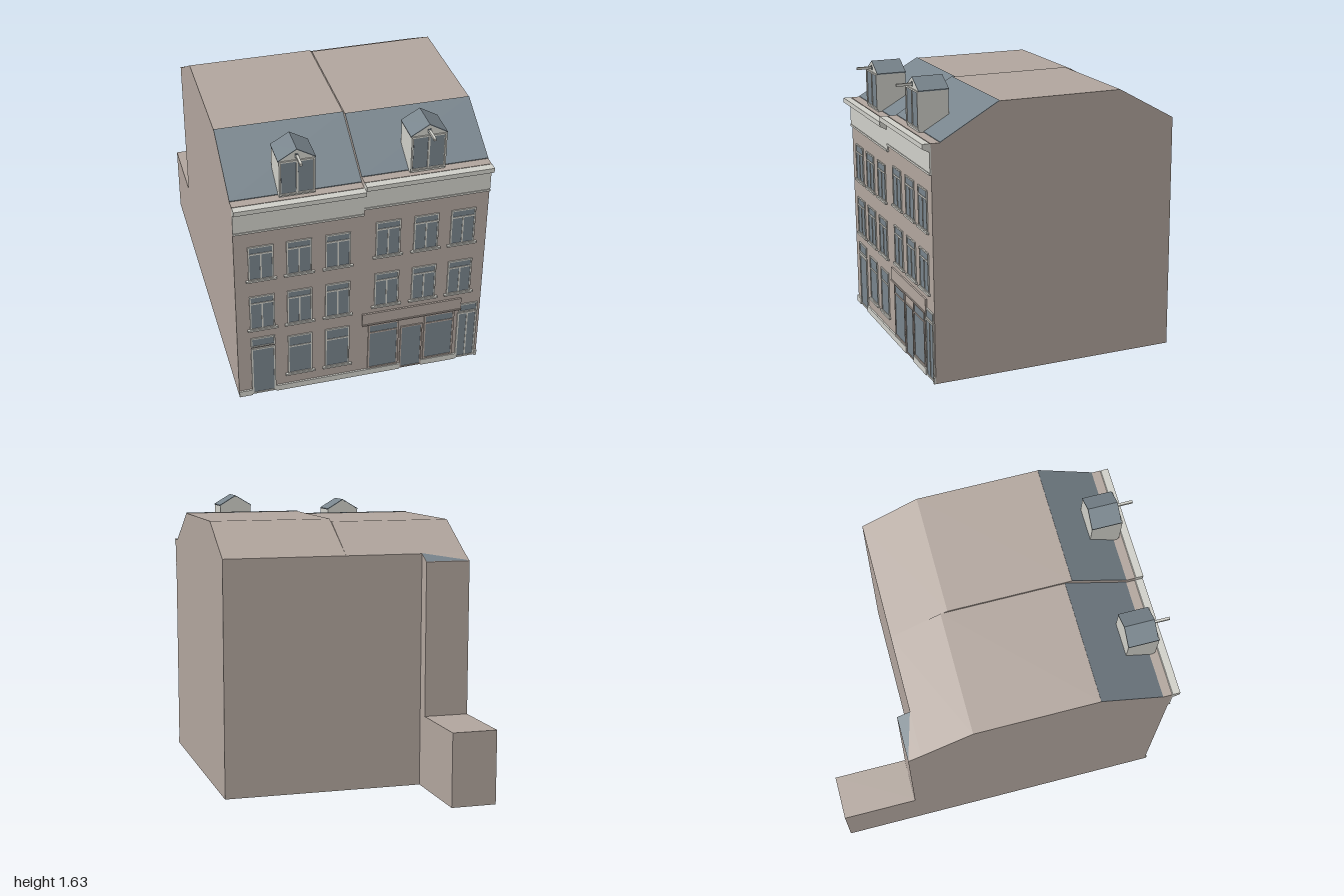
import * as THREE from 'three';

const mat = (name, color) => {
  const m = new THREE.MeshStandardMaterial({ color });
  m.name = name;
  return m;
};

export function createModel() {
  const model = new THREE.Group();
  model.name = 'terracedHouses';
  const wall = mat('wall', 0xb2a69e);
  const slate = mat('slateAndGlass', 0x78848c);
  const cream = mat('cream', 0xd0d0c9);
  const FRONT = 0.937;

  const add = (parent, name, geometry, material) => {
    const mesh = new THREE.Mesh(geometry, material);
    mesh.name = name;
    parent.add(mesh);
    return mesh;
  };
  const group = (name) => {
    const g = new THREE.Group();
    g.name = name;
    model.add(g);
    return g;
  };
  // box given by its limits
  const block = (parent, name, material, x0, x1, y0, y1, z0, z1) =>
    add(parent, name, new THREE.BoxGeometry(x1 - x0, y1 - y0, z1 - z0)
      .translate((x0 + x1) / 2, (y0 + y1) / 2, (z0 + z1) / 2), material);
  const shapeOf = (pts) => new THREE.Shape(pts.map(([a, b]) => new THREE.Vector2(a, b)));
  // side profile of [z, y] points drawn out from x0 to x1
  const profile = (parent, name, material, pts, x0, x1) =>
    add(parent, name, new THREE.ExtrudeGeometry(shapeOf(pts), { depth: x1 - x0, bevelEnabled: false })
      .rotateY(-Math.PI / 2).translate(x1, 0, 0), material);
  // flat rectangular frame standing on the facade
  const frame = (parent, name, material, x0, x1, y0, y1, t, z, depth) => {
    const s = shapeOf([[x0, y0], [x1, y0], [x1, y1], [x0, y1]]);
    s.holes.push(new THREE.Path([[x0 + t, y0 + t], [x0 + t, y1 - t], [x1 - t, y1 - t], [x1 - t, y0 + t]]
      .map(([a, b]) => new THREE.Vector2(a, b))));
    add(parent, name, new THREE.ExtrudeGeometry(s, { depth, bevelEnabled: false }).translate(0, 0, z), material);
  };

  // window or door: glass, frame, optional transom, mullion and sill
  const opening = (name, x0, x1, y0, y1, o = {}) => {
    const g = group(name);
    const m = o.material || cream;
    const t = o.t || 0.008;
    const xm = (x0 + x1) / 2;
    block(g, 'glass', slate, x0 + 0.002, x1 - 0.002, y0 + 0.002, y1 - 0.002, FRONT - 0.004, FRONT + 0.003);
    frame(g, 'frame', m, x0, x1, y0, y1, t, FRONT - 0.002, 0.009);
    if (o.transom) block(g, 'transom', m, x0 + t, x1 - t, o.transom - 0.005, o.transom + 0.005, FRONT, FRONT + 0.006);
    if (o.mullion) block(g, 'mullion', m, xm - 0.004, xm + 0.004, y0 + t, o.transom || y1 - t, FRONT, FRONT + 0.006);
    if (o.sill) block(g, 'sill', m, x0 - 0.015, x1 + 0.015, y0 - 0.008, y0 + 0.003, FRONT - 0.002, FRONT + 0.014);
  };

  // the two houses, with slightly different roof heights
  const houses = [
    { name: 'rightHouse', x0: -0.71, x1: 0, eave: 1.31, top: 1.52, zFront: 0.51, zBack: -0.2, frieze: 1.135,
      dormer: -0.355, dormerBase: 1.32 },
    { name: 'leftHouse', x0: 0, x1: 0.705, eave: 1.342, top: 1.533, zFront: 0.55, zBack: -0.16, frieze: 1.172,
      dormer: 0.355, dormerBase: 1.355 },
  ];
  for (const h of houses) {
    const g = group(h.name);
    profile(g, 'body', wall, [[FRONT, 0], [FRONT, h.eave], [0.885, h.eave], [h.zFront, h.top],
      [h.zBack, h.top], [-0.49, 1.348], [-0.49, 0]], h.x0, h.x1);
    profile(g, 'frontRoofSlope', slate, [[0.885, h.eave], [0.885, h.eave + 0.004],
      [h.zFront, h.top + 0.004], [h.zFront, h.top]], h.x0, h.x1);
    // frieze and cornice
    block(g, 'frieze', cream, h.x0, h.x1, h.frieze, h.eave - 0.02, FRONT - 0.002, FRONT + 0.008);
    block(g, 'friezeMoulding', cream, h.x0, h.x1, h.frieze, h.frieze + 0.012, FRONT, FRONT + 0.012);
    const e = h.eave;
    profile(g, 'cornice', cream, [[FRONT, e - 0.05], [0.95, e - 0.044], [0.978, e - 0.03], [0.985, e - 0.026],
      [0.985, e + 0.001], [0.942, e + 0.001], [FRONT, e - 0.005]], h.x0, h.x1);

    // dormer with gabled slate roof and hoist beam
    const d = new THREE.Group();
    d.name = 'dormer';
    d.position.set(h.dormer, h.dormerBase, 0);
    g.add(d);
    const w = 0.097, zf = 0.91, eaves = 0.21, ridge = 0.268;
    add(d, 'dormerWalls', new THREE.ExtrudeGeometry(
      shapeOf([[-w, -0.02], [w, -0.02], [w, eaves], [0, ridge], [-w, eaves]]),
      { depth: 0.17, bevelEnabled: false }).translate(0, 0, zf - 0.17), cream);
    for (const s of [-1, 1]) {
      const pts = [[0, ridge], [s * (w + 0.004), eaves - 0.003], [s * (w + 0.004), eaves + 0.003], [0, ridge + 0.005]];
      add(d, 'dormerRoof', new THREE.ExtrudeGeometry(shapeOf(pts), { depth: 0.172, bevelEnabled: false })
        .translate(0, 0, zf - 0.172), slate);
      block(d, 'dormerGlass', slate, s > 0 ? 0.006 : -0.084, s > 0 ? 0.084 : -0.006, 0.012, 0.198, zf - 0.002, zf + 0.002);
    }
    frame(d, 'dormerFrame', cream, -w, w, 0, eaves, 0.009, zf - 0.002, 0.009);
    block(d, 'dormerMullion', cream, -0.005, 0.005, 0.009, 0.2, zf, zf + 0.006);
    block(d, 'hoistBeam', cream, -0.007, 0.007, 0.226, 0.24, zf - 0.01, 1);
    block(d, 'hoistPlate', slate, -0.009, 0.009, 0.22, 0.246, zf - 0.002, zf + 0.003);
  }

  // rear stair projection with a small slate corner, and low annex
  const rear = group('rearExtension');
  profile(rear, 'projection', wall, [[-0.48, 0], [-0.48, 1.348], [-0.49, 1.348], [-0.565, 1.308], [-0.565, 0]], -0.71, -0.45);
  const corner = new THREE.BufferGeometry();
  corner.setAttribute('position', new THREE.Float32BufferAttribute(
    [-0.45, 1.351, -0.49, -0.45, 1.311, -0.565, -0.71, 1.311, -0.565], 3));
  corner.computeVertexNormals();
  add(rear, 'slateCorner', corner, slate);
  block(rear, 'annex', wall, -0.71, -0.45, 0, 0.42, -1, -0.55);

  // upper floor windows
  for (const cx of [0.14, 0.355, 0.565]) {
    for (const [side, rows] of [[-1, [[0.817, 1.04], [0.475, 0.705]]], [1, [[0.842, 1.073], [0.495, 0.725]]]]) {
      for (const [y0, y1] of rows) {
        opening('window', side * cx - 0.07, side * cx + 0.07, y0, y1,
          { transom: y1 - 0.05, mullion: true, sill: true });
      }
    }
  }
  // ground floor windows and house doors
  for (const cx of [-0.355, -0.14]) opening('groundWindow', cx - 0.07, cx + 0.07, 0.11, 0.385, { transom: 0.308, sill: true });
  opening('houseDoor', -0.635, -0.497, 0.005, 0.337, { t: 0.01 });
  opening('doorTransomLight', -0.635, -0.497, 0.347, 0.412);
  opening('houseDoor', 0.572, 0.69, 0.005, 0.34, { mullion: true, t: 0.01 });
  opening('doorTransomLight', 0.578, 0.69, 0.343, 0.402);

  // shopfront
  const shop = group('shopfront');
  block(shop, 'fascia', wall, 0.004, 0.587, 0.375, 0.45, FRONT - 0.002, FRONT + 0.01);
  block(shop, 'fasciaLedge', wall, 0.004, 0.587, 0.37, 0.378, FRONT - 0.002, FRONT + 0.016);
  for (const x of [0.04, 0.372]) opening('shopWindow', x, x + 0.18, 0.04, 0.366, { material: wall, t: 0.01, transom: 0.305 });
  opening('shopDoor', 0.232, 0.362, 0.004, 0.312, { material: wall, t: 0.008 });

  // plinth between the doors
  const plinth = group('plinth');
  for (const [a, b] of [[-0.71, -0.635], [-0.497, 0.232], [0.362, 0.572], [0.69, 0.705]]) {
    block(plinth, 'plinthStrip', cream, a, b, 0, 0.038, FRONT - 0.002, FRONT + 0.01);
  }
  return model;
}
